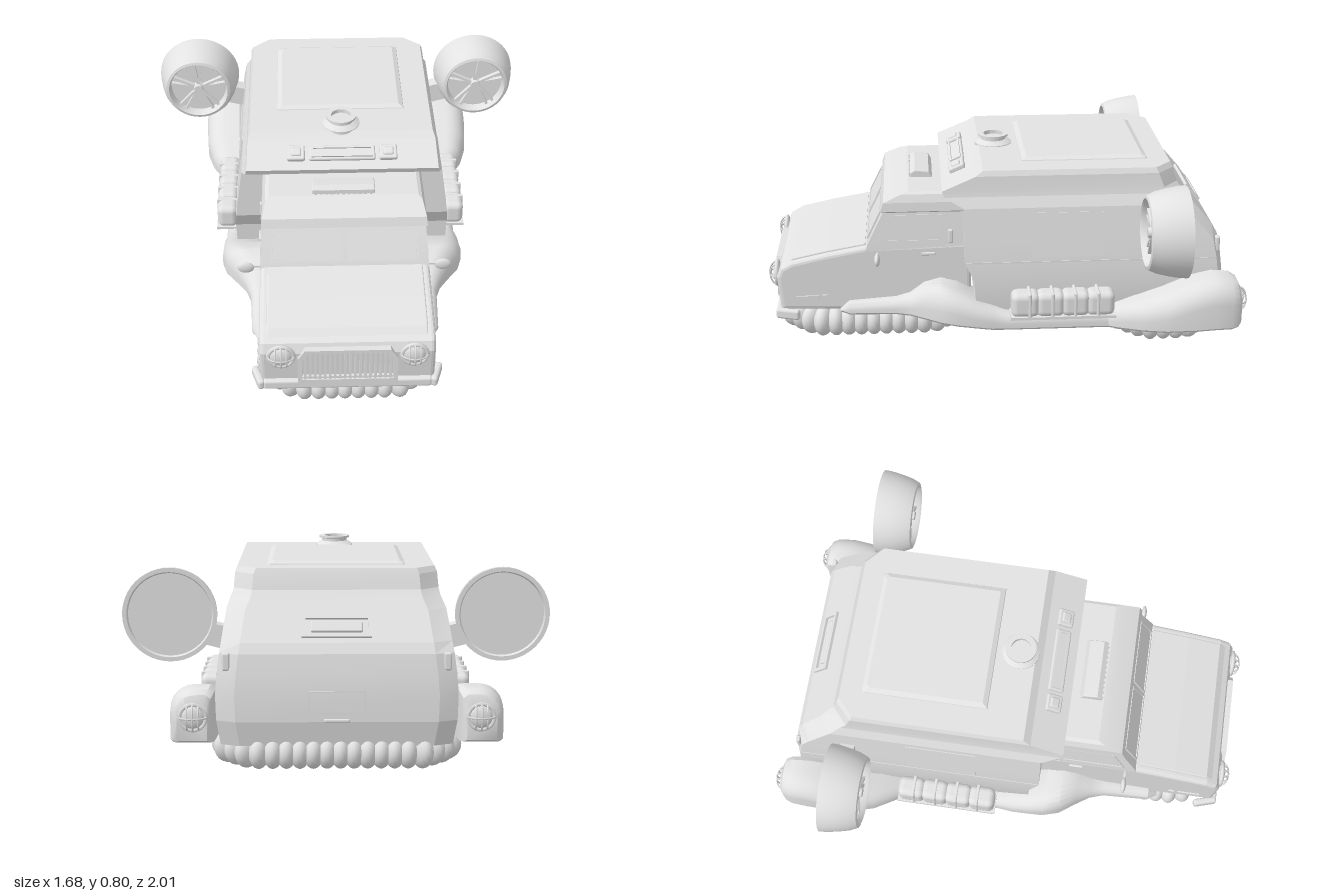
import * as THREE from 'three';
import { mergeGeometries, toCreasedNormals } from 'three/addons/utils/BufferGeometryUtils.js';
import { RoundedBoxGeometry } from 'three/addons/geometries/RoundedBoxGeometry.js';

const grey = new THREE.MeshStandardMaterial({ color: 0xe2e2e2, side: THREE.DoubleSide });
grey.name = 'plainGrey';

export function createModel() {
  const model = new THREE.Group();
  model.name = 'hoverCamper';
  const add = (name, geo, x = 0, y = 0, z = 0, rx = 0, ry = 0, rz = 0, parent = model) => {
    const m = new THREE.Mesh(geo, grey);
    m.name = name;
    m.position.set(x, y, z);
    m.rotation.set(rx, ry, rz);
    parent.add(m);
    return m;
  };
  const box = (w, h, d) => new THREE.BoxGeometry(w, h, d);
  const round = (w, h, d, r) => new RoundedBoxGeometry(w, h, d, 3, r);
  const group = (name, x, y, z) => {
    const g = new THREE.Group();
    g.name = name;
    g.position.set(x, y, z);
    model.add(g);
    return g;
  };

  // Skin through equal-length convex rings, with closed ends
  const loft = (rings, crease) => {
    const tris = [];
    const n = rings[0].length;
    for (let i = 0; i + 1 < rings.length; i++)
      for (let j = 0; j < n; j++) {
        const k = (j + 1) % n, a = rings[i], b = rings[i + 1];
        tris.push([a[j], a[k], b[k]], [a[j], b[k], b[j]]);
      }
    const e = rings[rings.length - 1];
    for (let j = 1; j + 1 < n; j++) tris.push([rings[0][0], rings[0][j + 1], rings[0][j]], [e[0], e[j], e[j + 1]]);
    let vol = 0;
    for (const [a, b, c] of tris) vol += a.clone().cross(b).dot(c);
    const pts = tris.flatMap(t => (vol < 0 ? [t[0], t[2], t[1]] : t));
    const g = new THREE.BufferGeometry().setFromPoints(pts);
    g.computeVertexNormals();
    return toCreasedNormals(g, crease);
  };
  // Stack of level outlines: [y, zFront, zBack, halfWidth, corner depth], with cut rear corners
  const stack = (levels, cut) => loft(levels.map(([y, f, b, w, c = 0.01]) =>
    [[w, f], [w, b + c], [w - cut, b], [cut - w, b], [-w, b + c], [-w, f]]
      .map(([x, z]) => new THREE.Vector3(x, y, z))), 0.15);
  const poly = pts => new THREE.Shape(pts.map(p => new THREE.Vector2(...p)));
  // Side outline of [z, y] points extruded across x
  const across = (pts, width, bevel) => new THREE.ExtrudeGeometry(poly(pts), {
    depth: width - 2 * bevel, bevelEnabled: bevel > 0, bevelSize: bevel, bevelThickness: bevel,
    bevelOffset: -bevel, bevelSegments: 3,
  }).translate(0, 0, -width / 2 + bevel).rotateY(-Math.PI / 2);
  // Flat rim following an outline, facing +z
  const rim = (pts, k, depth) => {
    const s = poly(pts);
    const cx = pts.reduce((t, p) => t + p[0], 0) / pts.length, cy = pts.reduce((t, p) => t + p[1], 0) / pts.length;
    const xs = pts.map(p => p[0]), ys = pts.map(p => p[1]);
    const sx = 1 - 2 * k / (Math.max(...xs) - Math.min(...xs)), sy = 1 - 2 * k / (Math.max(...ys) - Math.min(...ys));
    s.holes.push(poly(pts.map(([x, y]) => [cx + (x - cx) * sx, cy + (y - cy) * sy]).reverse()));
    return new THREE.ExtrudeGeometry(s, { depth, bevelEnabled: false });
  };
  const rect = (w, h) => [[-w / 2, -h / 2], [w / 2, -h / 2], [w / 2, h / 2], [-w / 2, h / 2]];

  // Camper body and roof fittings
  add('camperBody', stack([
    [0.10, 0.12, -0.91, 0.45, 0.03], [0.20, 0.125, -0.93, 0.465, 0.03], [0.30, 0.13, -0.928, 0.468, 0.03],
    [0.38, 0.17, -0.918, 0.462, 0.03], [0.46, 0.17, -0.902, 0.452, 0.03], [0.50, 0.17, -0.88, 0.446, 0.04],
    [0.61, 0.17, -0.785, 0.43, 0.05], [0.655, 0.25, -0.748, 0.41, 0.06], [0.68, 0.26, -0.728, 0.405, 0.065],
    [0.74, 0.12, -0.71, 0.40, 0.07], [0.762, 0.09, -0.70, 0.39, 0.07]], 0.075));
  add('roofHatch', stack([[0.755, -0.075, -0.615, 0.28], [0.766, -0.08, -0.61, 0.275], [0.776, -0.10, -0.59, 0.255]], 0.012));
  const ventProfile = [[0, 0], [0.08, 0], [0.08, 0.025], [0.065, 0.035], [0.055, 0.04], [0.055, 0.05],
    [0.065, 0.053], [0.065, 0.062], [0.042, 0.062], [0.042, 0.045], [0, 0.045]];
  add('roofVent', toCreasedNormals(new THREE.LatheGeometry(ventProfile.map(p => new THREE.Vector2(...p)), 32), 0.5), 0, 0.74, 0.025);
  const visor = group('roofLightPanel', 0, 0.716, 0.19);
  visor.rotation.x = 0.41;
  add('panelBase', round(0.28, 0.02, 0.07, 0.008), 0, 0, 0, 0, 0, 0, visor);
  add('panelRim', rim(rect(0.26, 0.05), 0.008, 0.008), 0, 0.009, 0, -Math.PI / 2, 0, 0, visor);
  for (const s of [1, -1]) {
    add('markerBase', round(0.075, 0.025, 0.07, 0.008), s * 0.195, 0.002, 0, 0, 0, 0, visor);
    add('markerLamp', round(0.045, 0.02, 0.04, 0.008), s * 0.195, 0.012, 0, 0, 0, 0, visor);
  }

  // Rear door, window, plate and handle
  const upper = group('rearWindow', 0, 0.552, -0.836);
  upper.rotation.set(-0.71, Math.PI, 0, 'YXZ');
  add('windowRim', rim(rect(0.27, 0.095), 0.014, 0.012), 0, 0, 0, 0, 0, 0, upper);
  add('windowPane', round(0.2, 0.045, 0.02, 0.006), 0, 0, 0, 0, 0, 0, upper);
  add('rearPlate', rim(rect(0.22, 0.09), 0.004, 0.004), 0, 0.275, -0.927, 0, Math.PI, 0);
  add('rearHandle', round(0.1, 0.016, 0.02, 0.006), 0, 0.205, -0.927);

  // Cab: bonnet block and greenhouse
  add('bonnet', across([[0.14, 0.12], [0.95, 0.14], [0.962, 0.29], [0.945, 0.33], [0.90, 0.355],
    [0.75, 0.388], [0.585, 0.418], [0.14, 0.43]], 0.70, 0.018));
  add('bonnetLid', across([[0.925, 0.34], [0.895, 0.365], [0.75, 0.397], [0.585, 0.426], [0.585, 0.40], [0.9, 0.33]], 0.64, 0.006));
  add('cabGreenhouse', stack([
    [0.40, 0.585, 0.14, 0.35], [0.43, 0.575, 0.145, 0.347], [0.565, 0.508, 0.15, 0.332], [0.572, 0.518, 0.16, 0.342],
    [0.61, 0.505, 0.175, 0.338], [0.642, 0.43, 0.20, 0.325], [0.65, 0.40, 0.21, 0.31]], 0.02));
  add('cabLightBar', across([[0.29, 0.64], [0.39, 0.64], [0.39, 0.668], [0.37, 0.682], [0.31, 0.675]], 0.26, 0.005));
  for (let i = 0; i < 11; i++) add('lightBarSlat', box(0.01, 0.022, 0.006), -0.115 + i * 0.023, 0.66, 0.392);

  // Grille
  const grille = [[-0.2, 0.14], [0.2, 0.14], [0.2, 0.27], [0.17, 0.315], [-0.17, 0.315], [-0.2, 0.27]];
  add('grilleRim', rim(grille, 0.018, 0.028), 0, 0, 0.948);
  for (let i = 0; i < 18; i++) add('grilleBar', box(0.01, 0.15, 0.02), -0.17 + i * 0.02, 0.225, 0.962);
  add('grilleCrossbar', box(0.36, 0.012, 0.012), 0, 0.165, 0.962);

  // Bumper
  add('frontBumper', round(0.68, 0.045, 0.05, 0.012), 0, 0.127, 0.945);

  // Round lamps with a wire cage
  const lamp = (name, x, y, z, turn) => {
    const g = group(name, x, y, z);
    g.rotation.y = turn;
    add('lampRim', new THREE.TorusGeometry(0.05, 0.009, 8, 28), 0, 0, 0, 0, 0, 0, g);
    add('lampBulb', new THREE.SphereGeometry(0.045, 24, 14).scale(1, 1, 0.4), 0, 0, 0, 0, 0, 0, g);
    for (const [r, off, roll] of [[0.052, 0, 0], [0.052, 0, Math.PI / 2], [0.046, 0.022, Math.PI / 2], [0.046, -0.022, Math.PI / 2]]) {
      const wire = new THREE.TorusGeometry(r, 0.004, 6, 18, Math.PI).rotateX(Math.PI / 2).scale(1, 1, 0.65);
      add('cageWire', wire.translate(0, off, 0).rotateZ(roll), 0, 0, 0, 0, 0, 0, g);
    }
  };

  // Fender line: [z, outer x, bottom y, top y, inner x]
  const fenderRows = [
    [0.70, 0.365, 0.13, 0.14, 0.3], [0.66, 0.39, 0.125, 0.178, 0.3], [0.46, 0.40, 0.125, 0.192, 0.3],
    [0.40, 0.42, 0.125, 0.21, 0.3], [0.34, 0.46, 0.125, 0.255, 0.3], [0.27, 0.51, 0.125, 0.274, 0.3],
    [0.20, 0.53, 0.12, 0.255, 0.3], [0.13, 0.53, 0.11, 0.215, 0.3], [0.06, 0.528, 0.10, 0.192, 0.35],
    [0.0, 0.52, 0.095, 0.165, 0.4], [-0.43, 0.52, 0.095, 0.165, 0.4], [-0.47, 0.55, 0.10, 0.19, 0.43],
    [-0.56, 0.605, 0.11, 0.225, 0.45], [-0.66, 0.635, 0.115, 0.265, 0.46], [-0.78, 0.643, 0.12, 0.315, 0.46],
    [-0.86, 0.643, 0.125, 0.335, 0.465], [-0.93, 0.638, 0.125, 0.332, 0.47], [-0.96, 0.627, 0.13, 0.315, 0.48], [-0.973, 0.61, 0.14, 0.285, 0.495]];
  const fenderRing = (s, [z, xo, yb, yt, xi]) => {
    const r = Math.min(0.095, (yt - yb) * 0.6, (xo - xi) * 0.6);
    const pts = [[xi, yb], [xo - 0.01, yb], [xo, yb + 0.01]];
    for (let i = 0; i <= 6; i++) {
      const a = i * Math.PI / 12;
      pts.push([xo - r + r * Math.cos(a), yt - r + r * Math.sin(a)]);
    }
    pts.push([xi + 0.02, yt], [xi, yt - 0.015]);
    return pts.map(([x, y]) => new THREE.Vector3(s * x, Math.max(y, yb), z));
  };

  // Lift fan housing, turned about z
  const fanProfile = [[0, 0.04], [0.128, 0.04], [0.132, 0.072], [0.138, 0.082], [0.15, 0.078], [0.165, 0.045],
    [0.176, 0], [0.185, -0.05], [0.187, -0.08], [0.17, -0.08], [0.165, -0.07], [0, -0.07]];
  const fanGeo = toCreasedNormals(new THREE.LatheGeometry(fanProfile.map(p => new THREE.Vector2(...p)), 48).rotateX(Math.PI / 2), 0.6);

  for (const s of [1, -1]) {
    add('fenderLine', loft(fenderRows.map(r => fenderRing(s, r)), 0.6));
    lamp('headlight', s * 0.265, 0.28, 0.965, 0);
    lamp('tailLight', s * 0.548, 0.23, -0.968, Math.PI);
    add('bumperEnd', round(0.03, 0.045, 0.105, 0.012), s * 0.36, 0.127, 0.92, 0, s * -0.3);

    // Windscreen panes
    const screen = group('windscreen', s * 0.155, 0.498, 0.543);
    screen.rotation.x = -0.46;
    add('screenRim', rim([[-0.15, -0.065], [0.15, -0.065], [0.143, 0.065], [-0.143, 0.065]], 0.007, 0.008), 0, 0, 0, 0, 0, 0, screen);
    add('screenPane', box(0.28, 0.115, 0.004), 0, 0, 0.002, 0, 0, 0, screen);

    // Cab door window, handle, vent and mirror
    const door = [[0.25, 0.435], [0.53, 0.435], [0.475, 0.555], [0.26, 0.555]];
    const win = rim(door, 0.01, 0.008).rotateY(-Math.PI / 2).translate(0.004, -0.435, 0);
    add('doorWindow', win, s * 0.346, 0.435, 0, 0, 0, s * 0.105);
    add('doorHandle', round(0.012, 0.012, 0.06, 0.004), s * 0.354, 0.385, 0.32);
    add('doorVent', round(0.02, 0.06, 0.02, 0.006), s * 0.345, 0.46, 0.225);
    add('doorSeam', box(0.006, 0.24, 0.006), s * 0.35, 0.30, 0.24);
    add('sideVent', box(0.012, 0.014, 0.10), s * 0.35, 0.197, 0.835);
    add('sideMarker', box(0.014, 0.02, 0.025), s * 0.35, 0.197, 0.76);
    add('mirrorArm', box(0.06, 0.008, 0.008), s * 0.365, 0.39, 0.535);
    add('mirror', new THREE.SphereGeometry(0.035, 18, 12).scale(1, 0.75, 0.35), s * 0.41, 0.385, 0.535);

    // Camper side trim, window panel and rear markers
    add('waistTrim', box(0.006, 0.006, 1.05), s * 0.461, 0.38, -0.36);
    add('sideWindow', box(0.006, 0.19, 0.30), s * 0.447, 0.495, -0.26, 0, 0, s * 0.14);
    add('rearMarker', round(0.03, 0.07, 0.02, 0.008), s * 0.425, 0.43, -0.895);

    // Luggage rolls with straps on the running board
    for (let i = 0; i < 4; i++) add('luggageRoll', round(0.092, 0.108, 0.118, 0.028), s * 0.515, 0.22, -0.077 - i * 0.105);
    for (let i = 0; i < 4; i++) add('luggageStrap', round(0.098, 0.114, 0.014, 0.006), s * 0.515, 0.22, -0.095 - i * 0.095);
    add('luggageTray', box(0.10, 0.012, 0.44), s * 0.515, 0.168, -0.235);

    // Side lift fan
    const fan = group('liftFan', s * 0.655, 0.578, -0.63);
    add('fanHousing', fanGeo, 0, 0, 0, 0, 0, 0, fan);
    add('fanHub', new THREE.CylinderGeometry(0.02, 0.026, 0.04, 20).rotateX(Math.PI / 2), 0, 0, 0.055, 0, 0, 0, fan);
    for (let i = 0; i < 5; i++)
      for (const side of [-1, 1]) {
        const a = i * Math.PI * 0.4 + side * 0.13;
        add('fanSpoke', box(0.012, 0.118, 0.02), -Math.sin(a) * 0.075, Math.cos(a) * 0.075, 0.05, 0, 0, a, fan);
      }
    add('fanArm', box(0.12, 0.09, 0.06), s * 0.47, 0.49, -0.665, 0, 0, s * 0.25);
  }

  // Ribbed air cushions
  const cushion = (name, w, zf, zb, cut, count) => {
    const path = poly([[w - cut, zf], [w, zf - cut], [w, zb + cut], [w - cut, zb],
      [cut - w, zb], [-w, zb + cut], [-w, zf - cut], [cut - w, zf], [w - cut, zf]]);
    const p = path.getSpacedPoints(count);
    const beads = [];
    for (let i = 0; i < count; i++) {
      const a = p[(i + count - 1) % count], b = p[(i + 1) % count];
      beads.push(new THREE.SphereGeometry(0.067, 18, 12).scale(1, 1, 0.62)
        .rotateY(Math.atan2(b.x - a.x, b.y - a.y)).translate(p[i].x, 0.067, p[i].y));
    }
    add(name, mergeGeometries(beads));
  };
  cushion('frontCushion', 0.305, 0.895, 0.205, 0.1, 44);
  cushion('rearCushion', 0.43, -0.51, -0.872, 0.1, 42);
  return model;
}
